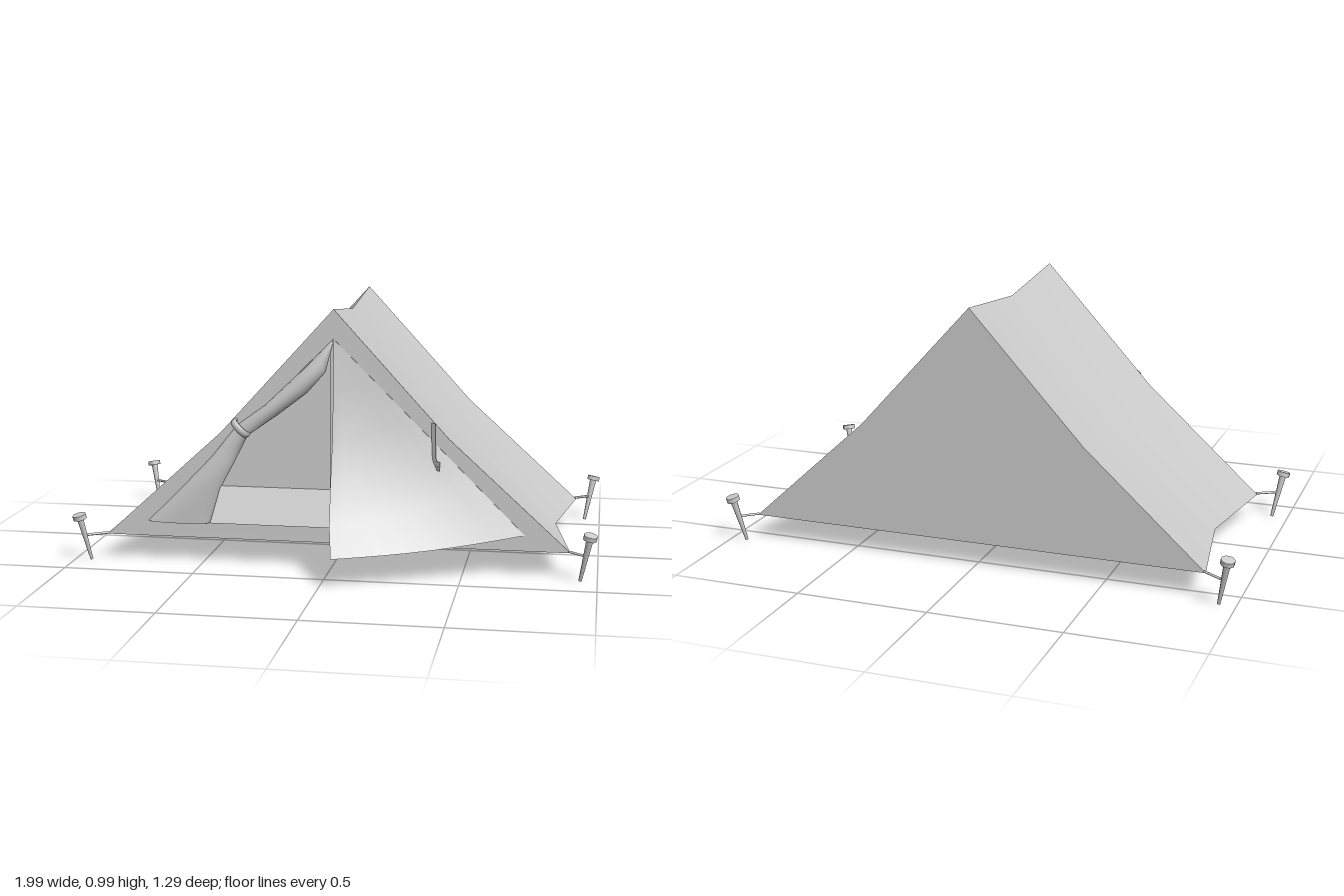
import * as THREE from 'three';

const V = (x, y, z) => new THREE.Vector3(x, y, z);
const cloth = new THREE.MeshStandardMaterial({ color: 0xcccccc, side: THREE.DoubleSide });
const solid = new THREE.MeshStandardMaterial({ color: 0xcccccc });
const FRONT = 0.335, BACK = -0.555, MID = -0.11, BASE = 0.095;

function named(name, geometry, material) {
  const mesh = new THREE.Mesh(geometry, material);
  mesh.name = name;
  return mesh;
}

// Cloth surface through equal-length rows of points
function sheet(name, rows) {
  const n = rows[0].length, index = [];
  for (let i = 0; i < rows.length - 1; i++) {
    for (let j = 0; j < n - 1; j++) {
      const a = i * n + j, b = a + n;
      index.push(a, b, a + 1, a + 1, b, b + 1);
    }
  }
  const g = new THREE.BufferGeometry().setFromPoints(rows.flat());
  g.setIndex(index);
  g.computeVertexNormals();
  return named(name, g, cloth);
}

// Tapered rod between two points
function rod(name, a, b, ra, rb, sides = 8) {
  const dir = b.clone().sub(a);
  const mesh = named(name, new THREE.CylinderGeometry(rb, ra, dir.length(), sides), solid);
  mesh.position.copy(a).lerp(b, 0.5);
  mesh.quaternion.setFromUnitVectors(V(0, 1, 0), dir.normalize());
  return mesh;
}

function polygon(points) {
  return new THREE.Shape(points.map(([x, y]) => new THREE.Vector2(x, y)));
}

export function createModel() {
  const tent = new THREE.Group();
  tent.name = 'tent';

  // Roof slopes, sagging at the ridge and drawn in at the middle
  for (const s of [1, -1]) {
    const x = (v) => 0.01 + s * v;
    tent.add(sheet(s > 0 ? 'leftRoof' : 'rightRoof', [
      [V(0.01, 0.985, FRONT), V(x(0.434), 0.51, FRONT), V(x(0.89), BASE, FRONT)],
      [V(0.01, 0.94, MID), V(x(0.40), 0.49, MID), V(x(0.82), BASE, MID)],
      [V(0.01, 0.985, BACK), V(x(0.434), 0.51, BACK), V(x(0.89), BASE, BACK)],
    ]));
  }

  // End walls; the front one has the doorway
  const outline = [[-0.88, BASE], [0.9, BASE], [0.444, 0.51], [0.01, 0.985], [-0.424, 0.51]];
  const backWall = named('backWall', new THREE.ShapeGeometry(polygon(outline)), cloth);
  backWall.position.z = BACK;
  const frontShape = polygon(outline);
  frontShape.holes.push(polygon([[-0.715, 0.155], [0.01, 0.875], [0.73, 0.155]]));
  const frontWall = named('frontWall', new THREE.ShapeGeometry(frontShape), cloth);
  frontWall.position.z = FRONT;
  tent.add(backWall, frontWall);

  // Ground sheet
  const floor = named('floor', new THREE.ShapeGeometry(polygon([
    [-0.88, -FRONT], [0.9, -FRONT], [0.83, -MID], [0.9, -BACK], [-0.88, -BACK], [-0.81, -MID],
  ])), cloth);
  floor.rotation.x = -Math.PI / 2;
  floor.position.y = BASE;
  tent.add(floor);

  // Narrow upright at the middle of the doorway
  const upright = named('doorUpright', new THREE.BoxGeometry(0.022, 0.72, 0.008), solid);
  upright.position.set(0.007, 0.515, FRONT - 0.006);
  tent.add(upright);

  // Open door flap: hinge along the doorway edge, free edge swung outward
  const freeEdge = [
    [0.01, 0.875, 0.337], [0.012, 0.7, 0.358], [0.015, 0.51, 0.39],
    [0.02, 0.33, 0.47], [0.03, 0.21, 0.55], [0.05, 0.115, 0.64],
  ];
  tent.add(sheet('openFlap', freeEdge.map((p, i) => {
    const t = i / (freeEdge.length - 1);
    const hinge = V(0.01 + 0.72 * t, 0.875 - 0.72 * t, FRONT + 0.002);
    return Array.from({ length: 9 }, (_, j) => {
      const q = V(...p).lerp(hinge, j / 8);
      q.y -= 0.013 * t * Math.sin(Math.PI * j / 8);
      return q;
    });
  })));

  // Gathered door flap: outer x, y, inner x, y and depth of each section
  const gathers = [
    [0.01, 0.875, 0.005, 0.85, 0.004], [-0.05, 0.815, -0.02, 0.75, 0.03],
    [-0.13, 0.735, -0.09, 0.67, 0.042], [-0.25, 0.62, -0.2, 0.585, 0.033],
    [-0.36, 0.54, -0.32, 0.5, 0.02], [-0.46, 0.415, -0.37, 0.4, 0.03],
    [-0.58, 0.29, -0.43, 0.29, 0.038], [-0.715, 0.155, -0.47, 0.155, 0.03],
  ];
  tent.add(sheet('gatheredFlap', gathers.map(([ox, oy, ix, iy, d]) =>
    Array.from({ length: 17 }, (_, j) => {
      const a = j / 8 * Math.PI, k = (1 - Math.cos(a)) / 2, s = Math.sin(a);
      return V(ox + (ix - ox) * k, oy + (iy - oy) * k, FRONT + d * s * (s > 0 ? 1 : 0.4));
    }))));

  // Tie around the gathered flap
  const tie = named('flapTie', new THREE.TorusGeometry(0.036, 0.008, 6, 20), solid);
  tie.rotation.set(0, Math.PI / 2, Math.PI / 4, 'ZYX');
  tie.scale.set(0.75, 1, 1.8);
  tie.position.set(-0.345, 0.53, FRONT + 0.008);
  tent.add(tie);

  // Loose tie hanging on the other side, hooked at its end
  const strap = [[0.386, 0.57, 0.342], [0.388, 0.5, 0.35], [0.392, 0.43, 0.358], [0.404, 0.395, 0.362], [0.408, 0.43, 0.366]];
  tent.add(sheet('looseTie', strap.map(([x, y, z]) => [V(x - 0.008, y, z - 0.006), V(x + 0.008, y, z + 0.006)])));

  // Pegs leaning away from each corner, with a short rope
  for (const sx of [1, -1]) {
    for (const front of [true, false]) {
      const sz = front ? 1 : -1, z = front ? FRONT : BACK;
      const peg = new THREE.Group();
      peg.name = (front ? 'front' : 'back') + (sx > 0 ? 'Left' : 'Right') + 'Peg';
      const tip = V(sx * 0.937, 0, z + sz * 0.032);
      const top = V(sx * 0.969, 0.165, z + sz * 0.063);
      const crown = top.clone().add(top.clone().sub(tip).setLength(0.018));
      peg.add(
        rod('shaft', tip, top, 0.006, 0.013),
        rod('head', top, crown, 0.026, 0.026, 10),
        rod('rope', V(sx * 0.885 + 0.01, 0.1, z), tip.clone().lerp(top, 0.6), 0.005, 0.005, 6),
      );
      tent.add(peg);
    }
  }
  return tent;
}
